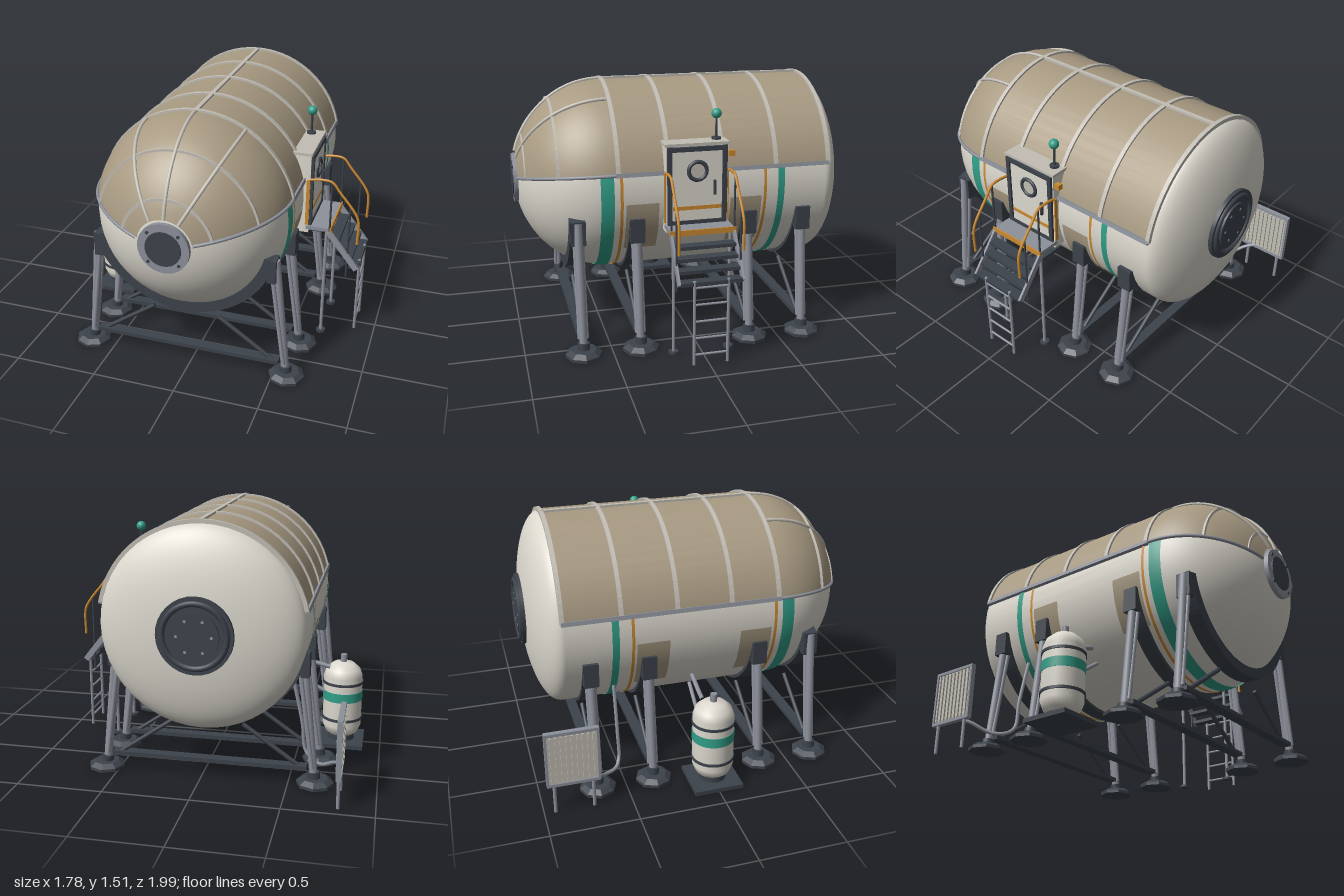
import * as THREE from 'three';
import { toCreasedNormals } from 'three/addons/utils/BufferGeometryUtils.js';

const mat = (name, color, side = THREE.FrontSide) => {
  const m = new THREE.MeshStandardMaterial({ color, side });
  m.name = name;
  return m;
};
const V = (x, y, z) => new THREE.Vector3(x, y, z);
const rad = THREE.MathUtils.degToRad;

export function createModel() {
  const shell = mat('shell white', 0xdcd8ce);
  const tan = mat('cover tan', 0xa89a82, THREE.DoubleSide);
  const rib = mat('rib grey', 0xc2beb5);
  const metal = mat('metal grey', 0x8d919b);
  const dark = mat('dark steel', 0x3d434b);
  const teal = mat('teal', 0x319e88, THREE.DoubleSide);
  const orange = mat('orange', 0xcb8a30, THREE.DoubleSide);

  const model = new THREE.Group();
  const CX = -0.035, CY = 0.92, R = 0.57;
  const vessel = new THREE.Group();
  vessel.name = 'vessel';
  vessel.position.set(CX, CY, 0);
  model.add(vessel);

  const add = (name, geo, m, parent = model) => {
    const mesh = new THREE.Mesh(geo, m);
    mesh.name = name;
    parent.add(mesh);
    return mesh;
  };
  const box = (name, m, w, h, d, x, y, z, parent) =>
    add(name, new THREE.BoxGeometry(w, h, d).translate(x, y, z), m, parent);
  const rod = (name, m, a, b, r, parent, r2 = r, sides = 10) => {
    const dir = b.clone().sub(a);
    const mesh = add(name, new THREE.CylinderGeometry(r2, r, dir.length(), sides), m, parent);
    mesh.position.copy(a).add(b).multiplyScalar(0.5);
    mesh.quaternion.setFromUnitVectors(V(0, 1, 0), dir.normalize());
    return mesh;
  };
  const pipe = (name, m, pts, r, parent) =>
    add(name, new THREE.TubeGeometry(new THREE.CatmullRomCurve3(pts, false, 'centripetal'), 32, r, 8), m, parent);

  // Hull radius along z: shallow back dome, cylinder, long front dome
  const hullR = z => {
    const t = z > 0.45 ? (z - 0.45) / 0.53 : z < -0.8 ? (-0.8 - z) / 0.175 : 0;
    return R * Math.sqrt(Math.max(0, 1 - t * t));
  };
  // Surface turned around z; angles in degrees from +x, counter-clockwise
  const turned = (name, m, pts, from = 0, to = 360, seg = 48) =>
    add(name, new THREE.LatheGeometry(pts.map(p => new THREE.Vector2(...p)), seg,
      rad(from + 90), rad(to - from)).rotateX(Math.PI / 2), m, vessel);
  const skin = (z0, z1, off, n = 1) =>
    Array.from({ length: n + 1 }, (_, i) => z0 + (z1 - z0) * i / n).map(z => [hullR(z) + off, z]);
  // Flat arc band with thickness, centred at z
  const arcBand = (name, m, r0, r1, from, to, z, width, seg) => {
    const s = new THREE.Shape();
    s.absarc(0, 0, r1, rad(from), rad(to), false);
    s.absarc(0, 0, r0, rad(to), rad(from), true);
    const g = new THREE.ExtrudeGeometry(s, { depth: width, bevelEnabled: false, curveSegments: seg });
    return add(name, g.translate(0, 0, z - width / 2), m, vessel);
  };

  // Hull
  const hull = [];
  for (let i = 0; i <= 14; i++) {
    const a = i / 14 * Math.PI / 2;
    hull.push([R * Math.sin(a), -0.8 - 0.175 * Math.cos(a)]);
  }
  for (let i = 0; i <= 18; i++) {
    const a = i / 18 * Math.PI / 2;
    hull.push([R * Math.cos(a), 0.45 + 0.53 * Math.sin(a)]);
  }
  turned('hull', shell, hull);

  // Upper insulation cover with ribs
  const E0 = 12, E1 = 168;
  turned('coverBarrel', tan, [[R + 0.007, -0.81], [R + 0.007, 0.45]], E0, E1, 24);
  const nose = [];
  for (let i = 0; i <= 14; i++) {
    const a = i / 14 * 1.29;
    nose.push([(R + 0.007) * Math.cos(a), 0.45 + 0.537 * Math.sin(a)]);
  }
  turned('coverNose', tan, nose, E0, E1, 24);
  for (const z of [0.44, 0.155, -0.165, -0.485, -0.81])
    arcBand('coverRib', rib, R - 0.005, R + 0.018, E0, E1, z, 0.024, 14);
  for (const z of [0.76, 0.925])
    arcBand('noseRib', rib, hullR(z) - 0.008, hullR(z) + 0.016, E0, E1, z, 0.016, 12);
  for (const a of [E0, 60, 90, 120, E1]) {
    const c = Math.cos(rad(a)), s = Math.sin(rad(a));
    const edge = a === E0 || a === E1;
    const pts = nose.map(([r, z]) => V((r + 0.004) * c, (r + 0.004) * s, z));
    pipe('noseMeridian', edge ? metal : rib, pts, 0.01, vessel);
    if (edge || a === 90) {
      const bar = box('coverStringer', edge ? metal : rib, 0.022, 0.024, 1.27, 0, 0, -0.18, vessel);
      bar.position.set((R + 0.008) * c, (R + 0.008) * s, 0);
      bar.rotation.z = rad(a);
    }
  }

  // Painted bands and side panels on the lower hull
  turned('tealBandFront', teal, skin(0.465, 0.54, 0.005, 4), -192, 12);
  turned('tealBandRear', teal, skin(-0.54, -0.5, 0.005), -192, 12);
  turned('orangeLineFront', orange, skin(0.415, 0.432, 0.005), -192, 12);
  turned('orangeLineRear', orange, skin(-0.43, -0.413, 0.005), -192, 12);
  for (const [a, b] of [[-37, -5], [185, 217]])
    for (const z of [0.21, -0.4]) turned('sidePanel', tan, skin(z, z + 0.19, 0.005), a, b, 8);

  // End hatches
  const disc = (name, m, r, z0, z1) =>
    add(name, new THREE.CylinderGeometry(r, r, z1 - z0, 32).rotateX(Math.PI / 2).translate(0, 0, (z0 + z1) / 2), m, vessel);
  disc('frontHatchRing', metal, 0.147, 0.94, 0.987);
  disc('frontHatchDisc', dark, 0.102, 0.98, 0.993);
  disc('rearHatchFlange', dark, 0.21, -0.985, -0.93);
  add('rearHatchRim', new THREE.TorusGeometry(0.175, 0.016, 8, 32).translate(0, 0, -0.985), dark, vessel);
  disc('rearHatchDisc', dark, 0.135, -0.998, -0.96);
  for (let i = 0; i < 4; i++) {
    const a = rad(45 + i * 90);
    disc('frontBolt', dark, 0.009, 0.98, 0.993).position.set(0.123 * Math.cos(a), 0.123 * Math.sin(a), 0);
  }
  for (let i = 0; i < 6; i++) {
    const a = rad(i * 60);
    disc('rearBolt', metal, 0.008, -1, -0.99).position.set(0.095 * Math.cos(a), 0.095 * Math.sin(a), 0);
  }

  // Cradles, legs, feet and cross bracing
  for (const z of [0.67, 0.335, -0.33, -0.665]) {
    const r = z > 0.6 ? 0.545 : 0.575;
    arcBand('cradle', dark, r - 0.05, r + 0.014, -165, -15, z, 0.088, 28);
    box('crossBeam', dark, 1.14, 0.024, 0.06, CX, 0.1, z);
    for (const s of [-1, 1]) {
      const X = d => CX + s * d;
      const leg = new THREE.Group();
      leg.name = 'leg';
      model.add(leg);
      rod('legTube', metal, V(X(0.61), 0.04, z), V(X(0.535), 0.77, z), 0.024, leg);
      for (const o of [-0.02, 0.02])
        rod('legRail', metal, V(X(0.6), 0.1, z + o), V(X(0.512), 0.74, z + o), 0.013, leg);
      box('legBracket', dark, 0.05, 0.14, 0.085, X(r - 0.025), 0.71, z, leg);
      rod('legCollar', dark, V(X(0.613), 0.03, z), V(X(0.608), 0.075, z), 0.036, leg);
      const foot = toCreasedNormals(new THREE.CylinderGeometry(0.075, 0.107, 0.022, 8), 0.3);
      add('footTop', foot.translate(X(0.617), 0.029, z), dark, leg);
      add('footPad', toCreasedNormals(new THREE.CylinderGeometry(0.107, 0.107, 0.018, 8), 0.3)
        .translate(X(0.617), 0.009, z), dark, leg);
      rod('diagonalBrace', dark, V(X(0.53), 0.1, z), V(X(0.2), 0.33, z), 0.013);
    }
  }

  // Airlock with door, lamp and antenna
  const airlock = new THREE.Group();
  airlock.name = 'airlock';
  model.add(airlock);
  box('airlockBody', shell, 0.13, 0.5, 0.36, 0.505, 0.95, 0, airlock);
  box('airlockRoof', rib, 0.14, 0.016, 0.375, 0.507, 1.205, 0, airlock);
  for (const s of [-1, 1]) {
    box('doorFrameSide', dark, 0.022, 0.45, 0.026, 0.575, 0.97, s * 0.16, airlock);
    box('frameTrim', orange, 0.02, 0.29, 0.008, 0.56, 0.9, s * 0.184, airlock);
  }
  for (const y of [1.18, 0.755]) box('doorFrameBar', dark, 0.022, 0.026, 0.346, 0.575, y, 0, airlock);
  box('door', shell, 0.012, 0.4, 0.285, 0.574, 0.968, 0, airlock);
  box('doorStripe', orange, 0.006, 0.022, 0.285, 0.579, 0.84, 0, airlock);
  add('porthole', new THREE.TorusGeometry(0.052, 0.012, 8, 28).rotateY(Math.PI / 2).translate(0.582, 1.055, 0), dark, airlock);
  add('portholeGlass', new THREE.CylinderGeometry(0.046, 0.046, 0.008, 24).rotateZ(Math.PI / 2).translate(0.58, 1.055, 0), rib, airlock);
  box('doorHandle', dark, 0.016, 0.085, 0.012, 0.588, 0.955, -0.1, airlock);
  box('lamp', orange, 0.03, 0.032, 0.035, 0.555, 1.14, -0.205, airlock);
  rod('antennaBase', dark, V(0.5, 1.21, -0.13), V(0.5, 1.225, -0.13), 0.028, airlock);
  rod('antennaMast', dark, V(0.5, 1.21, -0.13), V(0.5, 1.35, -0.13), 0.007, airlock);
  add('antennaBall', new THREE.SphereGeometry(0.029, 20, 14).translate(0.5, 1.36, -0.13), teal, airlock);

  // Platform, stairs, handrails and ladder
  const stairs = new THREE.Group();
  stairs.name = 'stairs';
  model.add(stairs);
  box('platform', metal, 0.15, 0.022, 0.37, 0.63, 0.735, 0, stairs);
  box('platformEdge', orange, 0.008, 0.032, 0.384, 0.706, 0.737, 0, stairs);
  box('platformBracket', dark, 0.1, 0.02, 0.3, 0.59, 0.71, 0, stairs);
  for (let i = 0; i < 4; i++)
    box('tread', dark, 0.062, 0.02, 0.35, 0.73 + i * 0.042, 0.665 - i * 0.054, 0, stairs);
  for (const s of [-1, 1]) {
    const z = s * 0.182;
    const str = box('stringer', metal, 0.29, 0.036, 0.014, 0, 0, 0, stairs);
    str.position.set(0.785, 0.61, z);
    str.rotation.z = -0.9;
    pipe('handrail', orange, [V(0.57, 1.05, z), V(0.64, 1.058, z), V(0.7, 1.05, z), V(0.75, 0.99, z),
      V(0.845, 0.87, z), V(0.866, 0.82, z), V(0.868, 0.67, z)], 0.008, stairs);
    rod('railPost', dark, V(0.7, 0.73, z), V(0.7, 1.05, z), 0.006, stairs);
    rod('railPost', dark, V(0.815, 0.44, z), V(0.815, 0.91, z), 0.006, stairs);
    rod('platformPost', metal, V(0.68, 0.01, s * 0.165), V(0.68, 0.73, s * 0.165), 0.01, stairs);
    rod('postFoot', dark, V(0.68, 0, s * 0.165), V(0.68, 0.015, s * 0.165), 0.03, stairs);
    rod('ladderRail', metal, V(0.88, 0.02, s * 0.097), V(0.88, 0.52, s * 0.097), 0.009, stairs);
  }
  for (let i = 0; i < 5; i++)
    rod('ladderRung', metal, V(0.88, 0.08 + i * 0.1, -0.097), V(0.88, 0.08 + i * 0.1, 0.097), 0.007, stairs);

  // Storage tank on its base
  const tank = new THREE.Group();
  tank.name = 'tank';
  tank.position.set(-0.755, 0, 0);
  model.add(tank);
  const prof = [[0, 0.035], [0.06, 0.045], [0.1, 0.075], [0.12, 0.125], [0.12, 0.44], [0.105, 0.485], [0.065, 0.52], [0, 0.533]];
  add('tankBody', new THREE.LatheGeometry(prof.map(p => new THREE.Vector2(...p)), 32), shell, tank);
  box('tankBase', dark, 0.28, 0.025, 0.29, 0, 0.0125, 0, tank);
  rod('tankStand', dark, V(0, 0.02, 0), V(0, 0.06, 0), 0.08, tank, 0.08, 24);
  rod('tankCap', metal, V(0, 0.52, 0), V(0, 0.575, 0), 0.02, tank, 0.02, 16);
  for (const y of [0.17, 0.402]) rod('tankStrap', dark, V(0, y - 0.008, 0), V(0, y + 0.008, 0), 0.126, tank, 0.126, 32);
  rod('tankBand', teal, V(0, 0.29, 0), V(0, 0.348, 0), 0.123, tank, 0.123, 32);
  pipe('tankPipe', metal, [V(0.08, 0.5, -0.04), V(0.16, 0.52, -0.04), V(0.3, 0.57, -0.04)], 0.014, tank);
  pipe('tankLowerPipe', metal, [V(0.11, 0.34, -0.04), V(0.2, 0.39, -0.04), V(0.33, 0.48, -0.04)], 0.012, tank);

  // Radiator panel with frame, slats, posts and coolant pipe
  const radiator = new THREE.Group();
  radiator.name = 'radiator';
  radiator.position.set(-0.8, 0, -0.825);
  model.add(radiator);
  box('radiatorPanel', rib, 0.014, 0.31, 0.28, 0, 0.34, 0, radiator);
  for (let i = 0; i < 9; i++) box('radiatorSlat', rib, 0.034, 0.29, 0.011, 0, 0.34, -0.12 + i * 0.03, radiator);
  for (const s of [-1, 1]) {
    box('radiatorFrame', metal, 0.03, 0.018, 0.3, 0, 0.34 + s * 0.16, 0, radiator);
    box('radiatorFrameSide', metal, 0.03, 0.33, 0.014, 0, 0.34, s * 0.145, radiator);
    rod('radiatorPost', metal, V(0, 0, s * 0.11), V(0, 0.19, s * 0.11), 0.01, radiator);
  }
  pipe('coolantPipe', metal, [V(0, 0.19, 0.05), V(0.04, 0.16, 0.12), V(0.12, 0.105, 0.2), V(0.18, 0.1, 0.28),
    V(0.22, 0.14, 0.305), V(0.24, 0.3, 0.305), V(0.3, 0.58, 0.305)], 0.011, radiator);

  return model;
}
